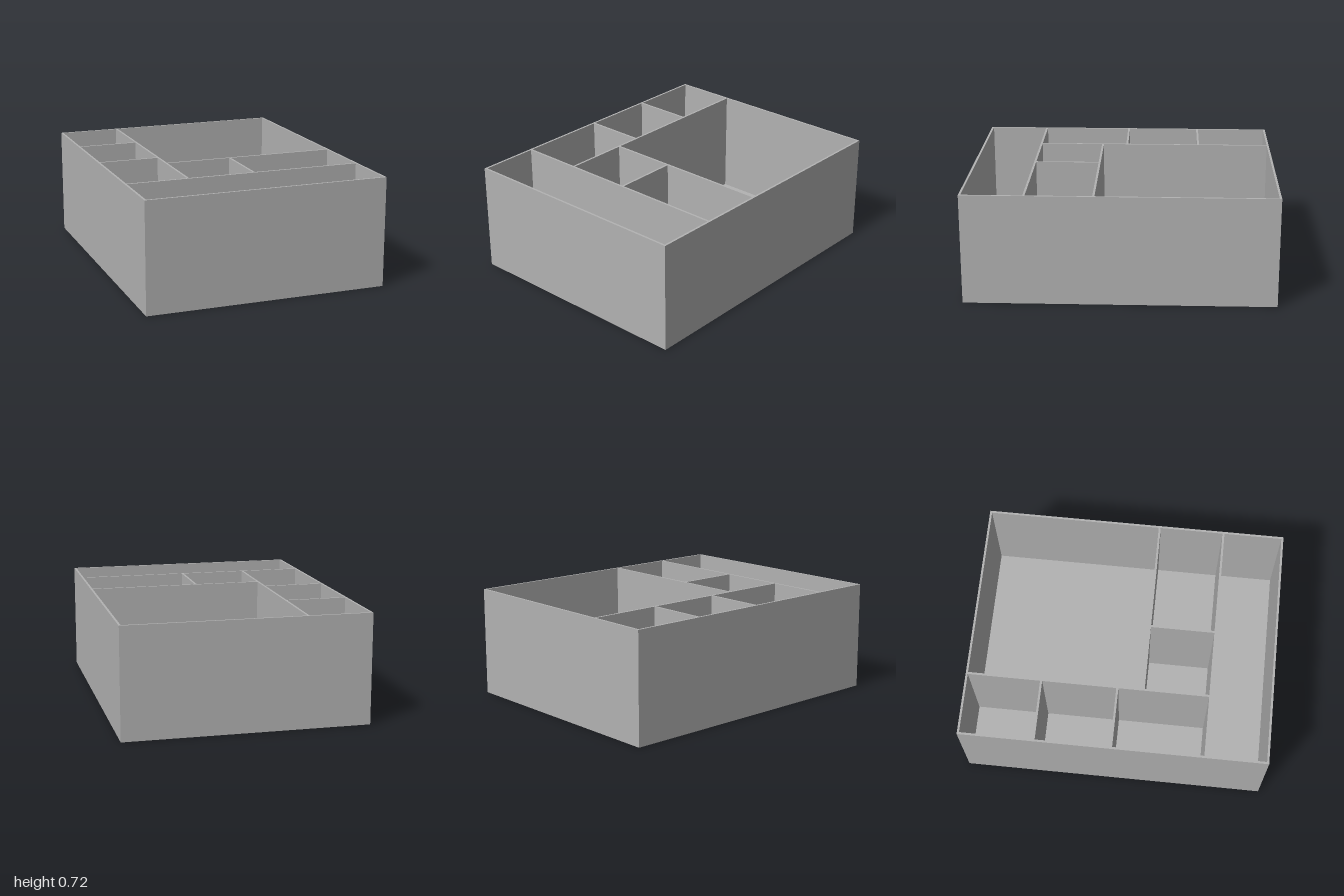
import * as THREE from 'three';

const HALF_W = 0.795, HALF_D = 1, HEIGHT = 0.72, FLOOR = 0.014;

// Compartment openings seen from above: [x0, x1, z0, z1]
const COMPARTMENTS = [
  [-0.781, -0.386, -0.986, -0.513],
  [-0.781, -0.386, -0.499, -0.016],
  [-0.781, -0.386, -0.002, 0.587],
  [-0.372, 0.781, -0.986, 0.154],
  [-0.372, 0.058, 0.168, 0.587],
  [0.072, 0.781, 0.168, 0.587],
  [-0.781, 0.781, 0.601, 0.986],
];

// Trace a rectangle in plan; shape y becomes -z once laid flat
function rectangle(path, x0, x1, z0, z1) {
  path.moveTo(x0, -z1);
  path.lineTo(x1, -z1);
  path.lineTo(x1, -z0);
  path.lineTo(x0, -z0);
  path.closePath();
  return path;
}

export function createModel() {
  const group = new THREE.Group();
  group.name = 'organizerTray';
  const grey = new THREE.MeshStandardMaterial({ color: 0xb2b2b2 });
  grey.name = 'grey';

  // Outer walls and dividers in one piece
  const plan = rectangle(new THREE.Shape(), -HALF_W, HALF_W, -HALF_D, HALF_D);
  plan.holes = COMPARTMENTS.map((c) => rectangle(new THREE.Path(), ...c));
  const wallGeometry = new THREE.ExtrudeGeometry(plan, { depth: HEIGHT - FLOOR, bevelEnabled: false });
  wallGeometry.rotateX(-Math.PI / 2);
  const walls = new THREE.Mesh(wallGeometry, grey);
  walls.name = 'wallsAndDividers';
  walls.position.y = FLOOR;
  group.add(walls);

  // Floor plate
  const floor = new THREE.Mesh(new THREE.BoxGeometry(HALF_W * 2, FLOOR, HALF_D * 2), grey);
  floor.name = 'floor';
  floor.position.y = FLOOR / 2;
  group.add(floor);

  return group;
}
